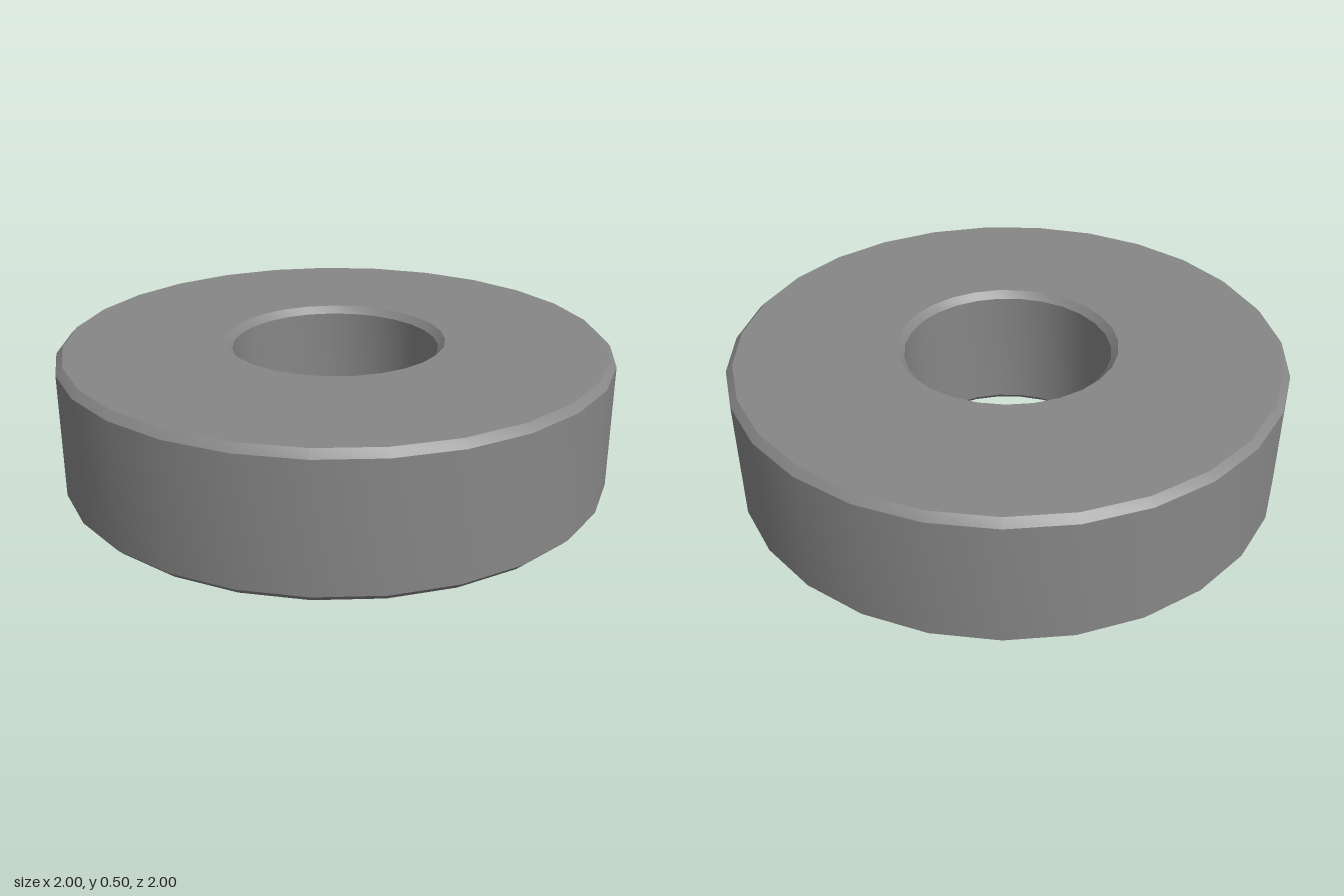
import * as THREE from 'three';
import { toCreasedNormals } from 'three/addons/utils/BufferGeometryUtils.js';

export function createModel() {
  const group = new THREE.Group();
  group.name = 'washer';

  const outer = 1.0017, inner = 0.375, height = 0.5, bevel = 0.025, sides = 27;

  // Closed ring section with all four edges bevelled
  const profile = [
    [inner + bevel, 0],
    [outer - bevel, 0],
    [outer, bevel],
    [outer, height - bevel],
    [outer - bevel, height],
    [inner + bevel, height],
    [inner, height - bevel],
    [inner, bevel],
    [inner + bevel, 0],
  ].map(([r, y]) => new THREE.Vector2(r, y));

  // First corner of the ring points to the back; walls smooth, bevels sharp
  const lathe = new THREE.LatheGeometry(profile, sides, Math.PI, Math.PI * 2);
  const geometry = toCreasedNormals(lathe, Math.PI / 6);
  geometry.center();
  geometry.translate(0, height / 2, 0);

  const ring = new THREE.Mesh(geometry, new THREE.MeshStandardMaterial({ color: 0x878787 }));
  ring.name = 'bevelledRing';
  group.add(ring);
  return group;
}
